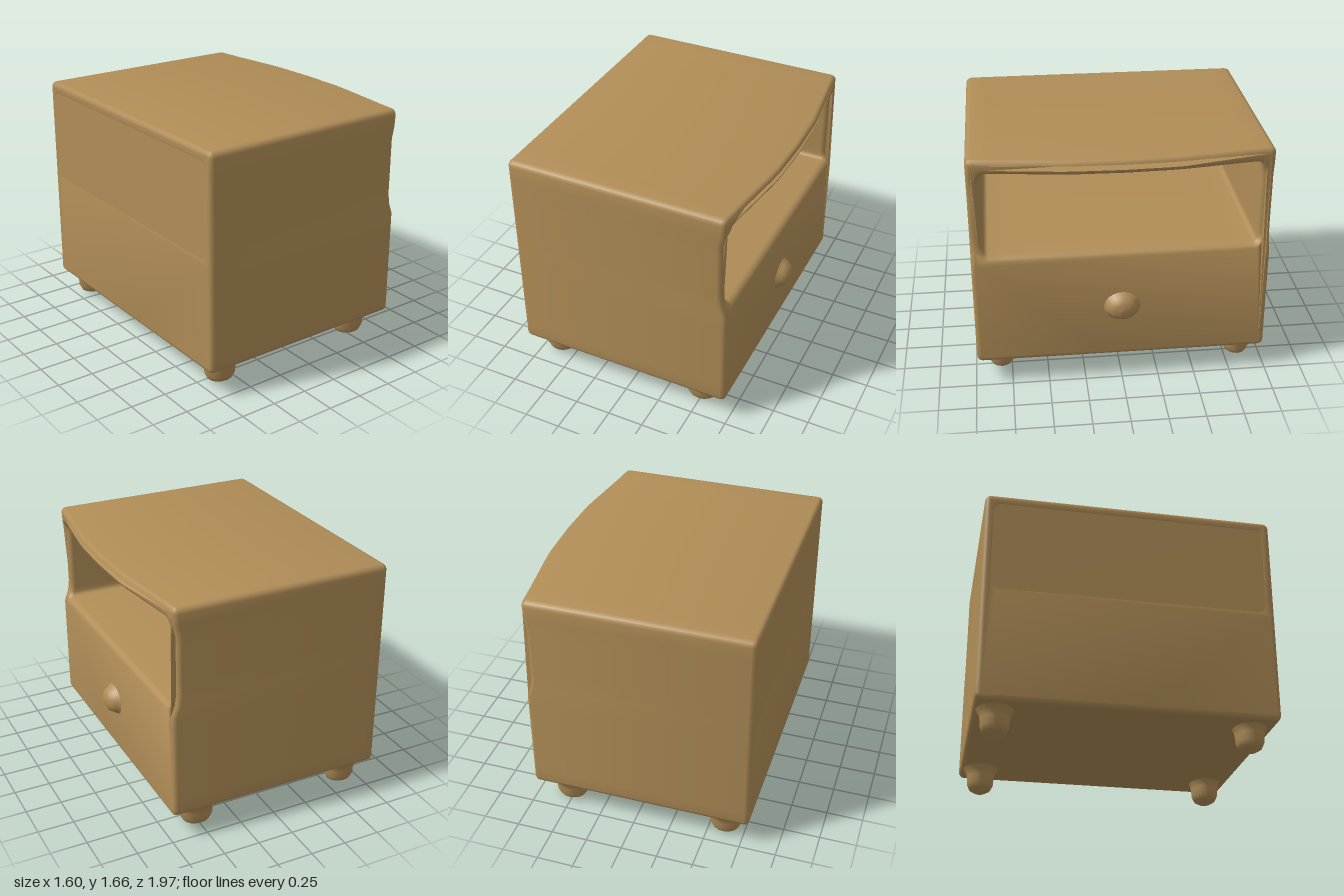
import * as THREE from 'three';
import { toCreasedNormals } from 'three/addons/utils/BufferGeometryUtils.js';

const wood = new THREE.MeshStandardMaterial({ color: 0xb08d57, roughness: 0.9 });
const { smoothstep, lerp } = THREE.MathUtils;

// Rounded rectangle outline whose edges are subdivided so they can be bent
function roundedOutline(halfW, y0, y1, r, cuts) {
  const corners = [
    [halfW - r, y0 + r, -Math.PI / 2],
    [halfW - r, y1 - r, 0],
    [-halfW + r, y1 - r, Math.PI / 2],
    [-halfW + r, y0 + r, Math.PI],
  ];
  const arcs = corners.map(([cx, cy, start]) => {
    const arc = [];
    for (let i = 0; i <= 4; i++) {
      const a = start + (i / 4) * Math.PI / 2;
      arc.push(new THREE.Vector2(cx + r * Math.cos(a), cy + r * Math.sin(a)));
    }
    return arc;
  });
  const points = [];
  arcs.forEach((arc, k) => {
    points.push(...arc);
    const from = arc[4], to = arcs[(k + 1) % 4][0];
    for (let i = 1; i < cuts; i++) points.push(from.clone().lerp(to, i / cuts));
  });
  return points;
}

// Where the open face lies: drawer proud of the side walls, top edge bowed out
function faceX(y, z) {
  const walls = 0.73 - 0.04 * smoothstep(y, 0.93, 1.03);
  const a = Math.abs(z);
  const bow = a < 0.35 ? lerp(0.8, 0.79, a / 0.35)
    : a < 0.8 ? lerp(0.79, 0.73, (a - 0.35) / 0.45)
      : lerp(0.73, 0.71, (a - 0.8) / 0.18);
  return lerp(walls, bow, smoothstep(y, 1.49, 1.56));
}

function mesh(name, geometry) {
  const m = new THREE.Mesh(geometry, wood);
  m.name = name;
  return m;
}

function lathe(profile, segments) {
  return new THREE.LatheGeometry(profile.map(([r, y]) => new THREE.Vector2(r, y)), segments);
}

export function createModel() {
  const group = new THREE.Group();
  group.name = 'nightstand';

  // Cabinet: outer block with the open compartment cut through it
  const bevel = 0.03;
  const shape = new THREE.Shape(roundedOutline(0.985, 0.175, 1.66, 0.04, 18));
  shape.holes.push(new THREE.Path(roundedOutline(0.9, 0.975, 1.565, 0.03, 18).reverse()));
  const body = new THREE.ExtrudeGeometry(shape, {
    depth: 1.5 - 2 * bevel, bevelEnabled: true, bevelThickness: bevel,
    bevelSize: bevel, bevelOffset: -bevel, bevelSegments: 3,
  });
  body.rotateY(Math.PI / 2).translate(-0.8 + bevel, 0, 0);
  const p = body.attributes.position;
  for (let i = 0; i < p.count; i++) {
    if (p.getX(i) > 0) p.setX(i, p.getX(i) + faceX(p.getY(i), p.getZ(i)) - 0.7);
  }
  group.add(mesh('cabinet', toCreasedNormals(body, 0.7)));

  // Panel closing the compartment at the back
  const panel = mesh('backPanel', new THREE.BoxGeometry(0.099, 0.66, 1.87));
  panel.position.set(-0.7495, 1.27, 0);
  group.add(panel);

  // Drawer knob with a flared base
  const knob = mesh('drawerKnob', lathe(
    [[0.135, -0.01], [0.115, 0.012], [0.1, 0.03], [0.085, 0.055], [0.05, 0.073], [0, 0.078]], 24));
  knob.rotation.z = -Math.PI / 2;
  knob.position.set(0.725, 0.56, 0);
  knob.scale.set(0.88, 1, 1);
  group.add(knob);

  // Stubby rounded feet, flared where they meet the cabinet
  const footGeometry = lathe(
    [[0, 0], [0.045, 0.005], [0.08, 0.025], [0.097, 0.06], [0.1, 0.11], [0.11, 0.15], [0.14, 0.19]], 16);
  for (const x of [-0.615, 0.505]) {
    for (const z of [0.82, -0.84]) {
      const foot = mesh('foot', footGeometry);
      foot.position.set(x, z > 0 ? 0.015 : 0, z);
      foot.scale.set(x > 0 ? 1.15 : 1.1, 1, 0.95);
      group.add(foot);
    }
  }
  return group;
}
